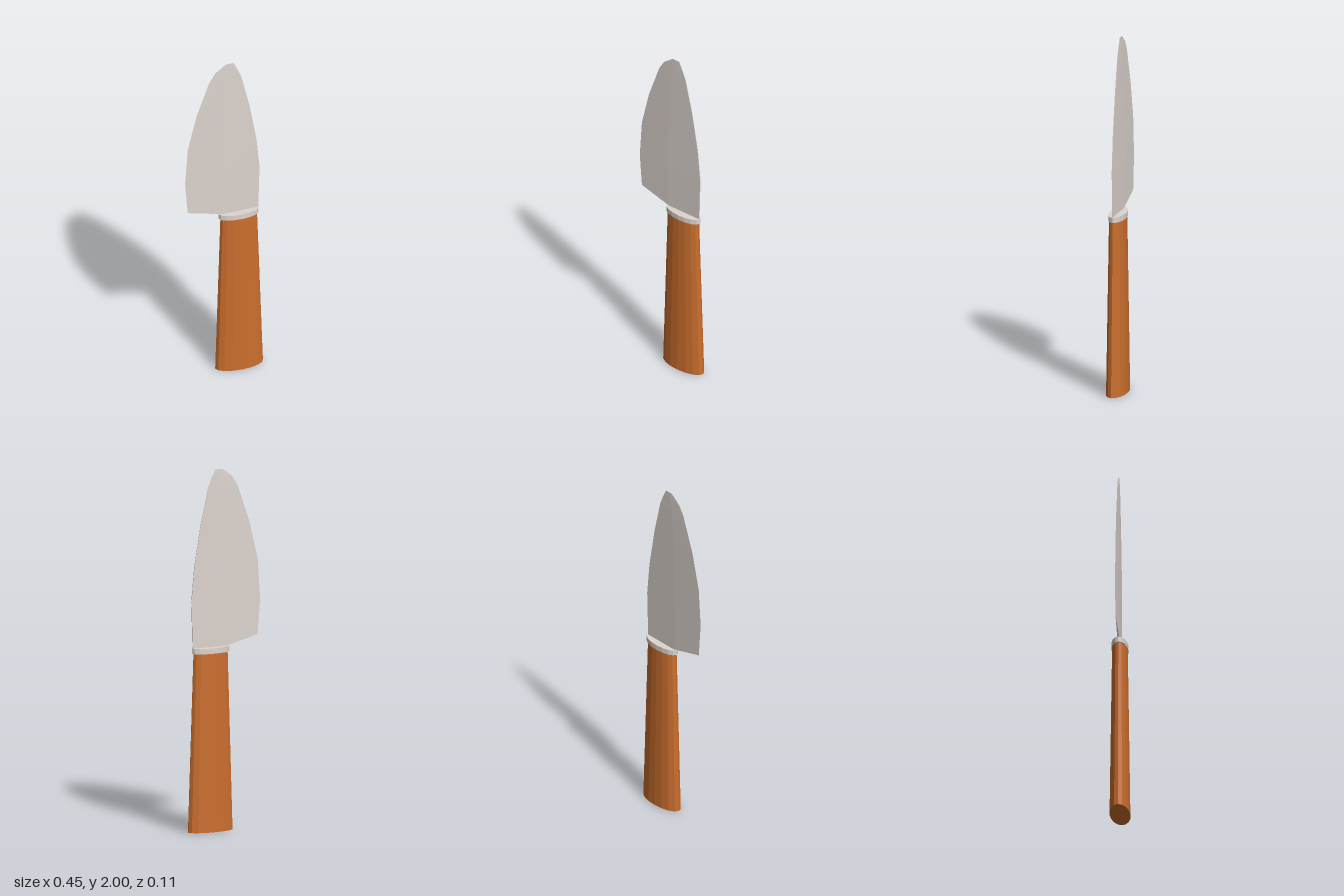
import * as THREE from 'three';

const mat = (color) => new THREE.MeshStandardMaterial({ color, flatShading: true });

// Tapered oval prism between heights y0 and y1, offset to the handle axis
function oval(name, y0, y1, bottom, top, color) {
  const geo = new THREE.CylinderGeometry(1, 1, y1 - y0, 16).toNonIndexed();
  const p = geo.attributes.position;
  for (let i = 0; i < p.count; i++) {
    const [cx, rx, rz] = p.getY(i) < 0 ? bottom : top;
    p.setXYZ(i, cx + p.getX(i) * rx, p.getY(i) + (y0 + y1) / 2, p.getZ(i) * rz);
  }
  geo.computeVertexNormals();
  const mesh = new THREE.Mesh(geo, mat(color));
  mesh.name = name;
  return mesh;
}

// Lens-shaped blade lofted from sections: cutting edge, thick middle, narrow spine
function makeBlade() {
  // edge x, y, middle x, y, spine x, y, half thickness
  const rows = [
    [-0.21, 1.065, -0.02, 1.02, 0.197, 1.0, 0.006],
    [-0.225, 1.26, -0.02, 1.27, 0.205, 1.28, 0.006],
    [-0.21, 1.48, -0.02, 1.475, 0.187, 1.47, 0.005],
    [-0.16, 1.69, -0.01, 1.695, 0.147, 1.7, 0.004],
    [-0.085, 1.9, 0.005, 1.9, 0.1, 1.9, 0.003],
    [-0.05, 1.955, 0.015, 1.955, 0.077, 1.955, 0.002],
    [0.01, 2.0, 0.033, 2.0, 0.055, 2.0, 0.001],
  ];
  const pos = [], idx = [];
  for (const [ex, ey, mx, my, sx, sy, h] of rows) {
    pos.push(ex, ey, 0, mx, my, h, sx, sy, h * 0.35, sx, sy, -h * 0.35, mx, my, -h);
  }
  const n = 5, last = (rows.length - 1) * n;
  for (let r = 0; r < last; r += n) {
    for (let k = 0; k < n; k++) {
      const a = r + k, b = r + (k + 1) % n;
      idx.push(a, b, b + n, a, b + n, a + n);
    }
  }
  // heel and tip caps
  for (let k = 1; k < n - 1; k++) {
    idx.push(0, k + 1, k, last, last + k, last + k + 1);
  }
  const geo = new THREE.BufferGeometry();
  geo.setAttribute('position', new THREE.Float32BufferAttribute(pos, 3));
  geo.setIndex(idx);
  const flat = geo.toNonIndexed();
  flat.computeVertexNormals();
  const mesh = new THREE.Mesh(flat, mat(0xddd4ce));
  mesh.name = 'blade';
  return mesh;
}

export function createModel() {
  const group = new THREE.Group();
  group.name = 'knife';
  group.add(
    oval('handle', 0, 0.99, [0.087, 0.138, 0.057], [0.085, 0.106, 0.043], 0xcc6f2e),
    oval('collar', 0.988, 1.018, [0.085, 0.116, 0.046], [0.085, 0.116, 0.046], 0xddd4ce),
    makeBlade(),
  );
  return group;
}
